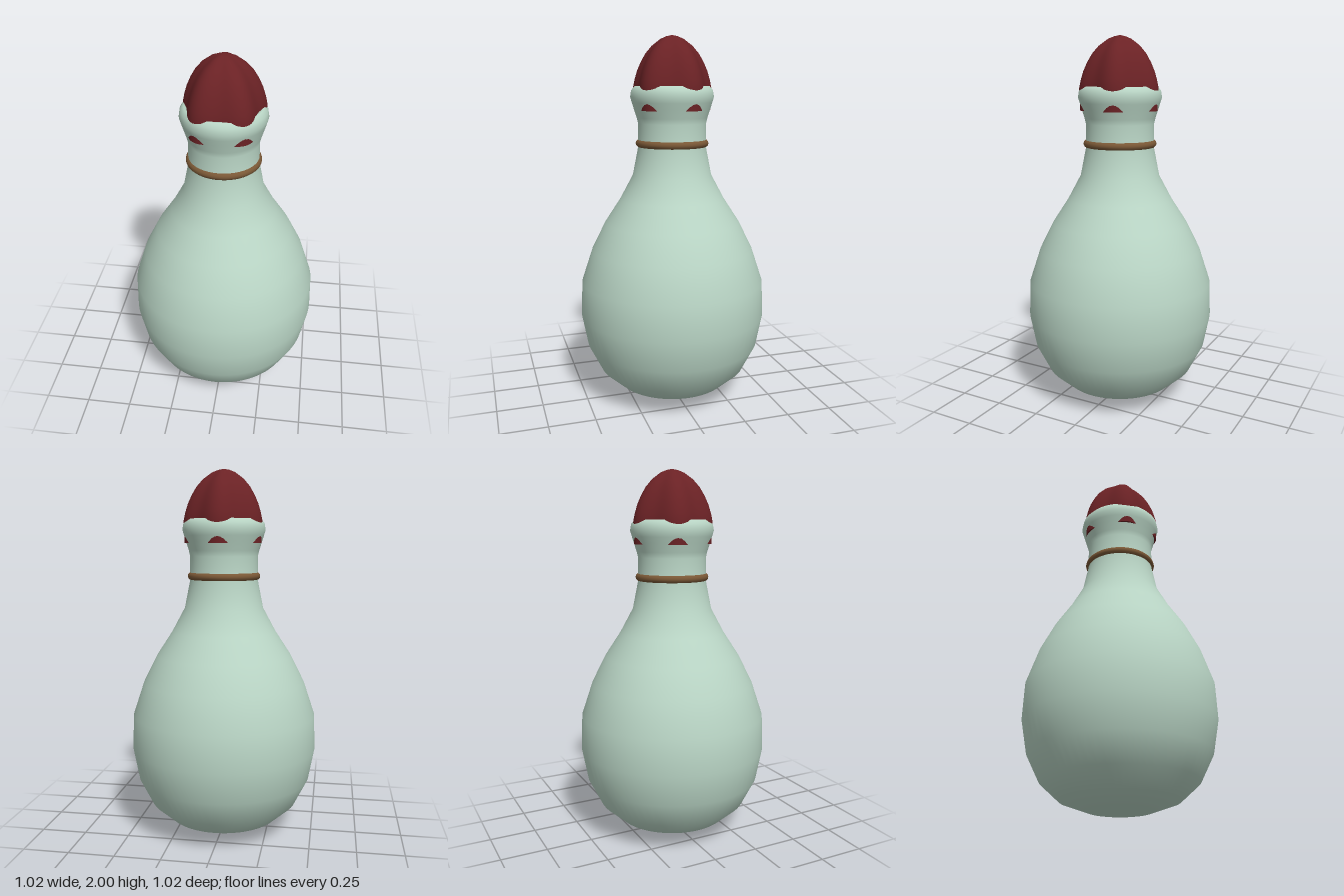
import * as THREE from 'three';
import { mergeVertices } from 'three/addons/utils/BufferGeometryUtils.js';

const paleGlass = new THREE.MeshStandardMaterial({ color: 0xbad6c6 });
const darkRed = new THREE.MeshStandardMaterial({ color: 0x6b2225 });
const brownCord = new THREE.MeshStandardMaterial({ color: 0x7a5836 });

const toPoints = (list) => list.map(([r, y]) => new THREE.Vector2(r, y));

// Lathe with five soft lobes, one of them pointing straight back
function lobedLathe(profile) {
  let geo = new THREE.LatheGeometry(toPoints(profile), 80);
  const pos = geo.attributes.position;
  for (let i = 0; i < pos.count; i++) {
    const x = pos.getX(i), z = pos.getZ(i);
    const k = 1 - 0.073 * Math.cos(5 * Math.atan2(x, z));
    pos.setX(i, x * k);
    pos.setZ(i, z * k);
  }
  geo.deleteAttribute('uv');
  geo.deleteAttribute('normal');
  geo = mergeVertices(geo, 1e-5); // weld the seam for even shading
  geo.computeVertexNormals();
  return geo;
}

export function createModel() {
  const model = new THREE.Group();
  model.name = 'flask';
  const add = (name, geo, material) => {
    const mesh = new THREE.Mesh(geo, material);
    mesh.name = name;
    model.add(mesh);
    return mesh;
  };

  // Round body, narrow neck and rolled lip, turning inward under the stopper
  add('flaskBody', new THREE.LatheGeometry(toPoints([
    [0, 0], [0.17, 0.03], [0.31, 0.08], [0.41, 0.17], [0.48, 0.31],
    [0.512, 0.48], [0.505, 0.67], [0.445, 0.85], [0.37, 1.0], [0.285, 1.13],
    [0.215, 1.26], [0.185, 1.41], [0.184, 1.54], [0.191, 1.57], [0.207, 1.62],
    [0.216, 1.65], [0.225, 1.68], [0.219, 1.715], [0.2, 1.737], [0.175, 1.735],
    [0.16, 1.7], [0.155, 1.6],
  ]), 64), paleGlass);

  // Cord round the neck
  const cord = add('neckCord', new THREE.TorusGeometry(0.177, 0.021, 12, 64), brownCord);
  cord.rotation.x = Math.PI / 2;
  cord.position.y = 1.433;

  // Lobed stopper, its lower corners just breaking through the neck
  add('stopper', lobedLathe([
    [0.2, 1.61], [0.2, 1.645], [0.203, 1.68], [0.204, 1.725], [0.195, 1.77],
    [0.182, 1.815], [0.163, 1.86], [0.138, 1.905], [0.105, 1.945],
    [0.06, 1.98], [0.03, 1.993], [0, 2.0],
  ]), darkRed);
  add('stopperBase', lobedLathe([[0, 1.61], [0.2, 1.61]]), darkRed);

  return model;
}
